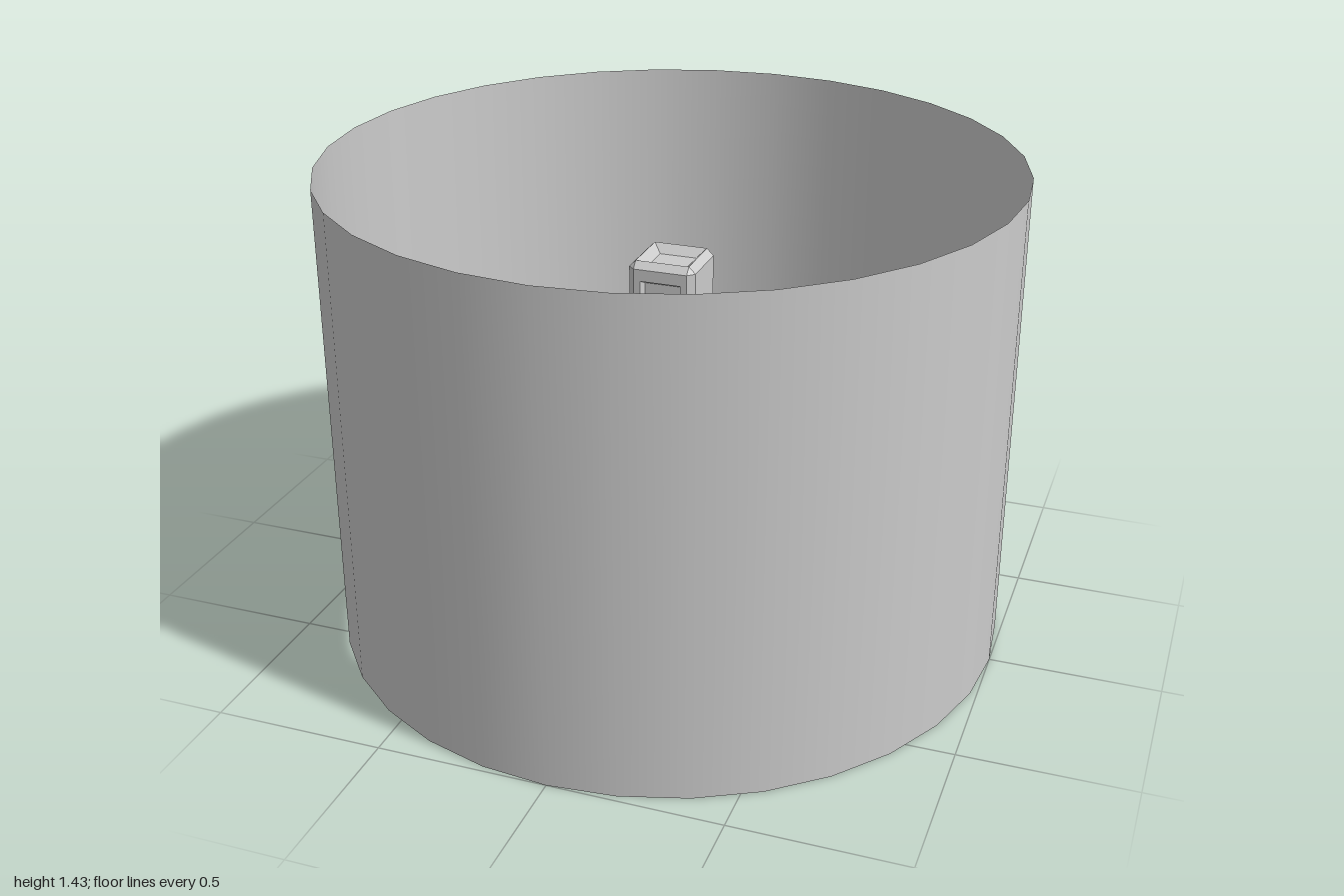
import * as THREE from 'three';

const material = new THREE.MeshStandardMaterial({ color: 0xcccccc, flatShading: true });

// Skin consecutive closed loops; skip(i, row) leaves out a strip segment; caps are fans.
function loft(loops, { skip = () => false, capStart = false, capEnd = false } = {}) {
  const pos = [];
  const tri = (a, b, c) => {
    const area = new THREE.Triangle(a, b, c).getArea();
    if (area > 1e-8) for (const p of [a, b, c]) pos.push(p.x, p.y, p.z);
  };
  const n = loops[0].length;
  for (let r = 0; r < loops.length - 1; r++) {
    const lo = loops[r], hi = loops[r + 1];
    for (let i = 0; i < n; i++) {
      if (skip(i, r)) continue;
      const j = (i + 1) % n;
      tri(lo[i], lo[j], hi[j]);
      tri(lo[i], hi[j], hi[i]);
    }
  }
  const cap = (loop, flip) => {
    const c = new THREE.Vector3();
    loop.forEach(p => c.addScaledVector(p, 1 / n));
    loop.forEach((p, i) => {
      const q = loop[(i + 1) % n];
      flip ? tri(c, q, p) : tri(c, p, q);
    });
  };
  if (capStart) cap(loops[0], true);
  if (capEnd) cap(loops[n ? loops.length - 1 : 0], false);
  const g = new THREE.BufferGeometry();
  g.setAttribute('position', new THREE.Float32BufferAttribute(pos, 3));
  g.computeVertexNormals();
  return g;
}

// Plus-shaped outline: half width w, arm length l, cut inner corners, at depth z
function crossLoop(w, l, z, cut = 0.02) {
  const pts = [];
  for (let k = 0; k < 4; k++) {
    for (const [x, y] of [[w, w + cut], [w, l], [-w, l], [-w, w + cut]]) {
      pts.push(new THREE.Vector3(x, y, z).applyAxisAngle(new THREE.Vector3(0, 0, 1), k * Math.PI / 2));
    }
  }
  return pts;
}

// Square with cut corners across an arm, at height y
function endLoop(w, h, y) {
  const pts = [];
  for (let k = 0; k < 4; k++) {
    for (const [x, u] of [[w, h], [h, w]]) {
      pts.push(new THREE.Vector3(x, y, -u).applyAxisAngle(new THREE.Vector3(0, 1, 0), k * Math.PI / 2));
    }
  }
  return pts;
}

export function createModel() {
  const model = new THREE.Group();

  // Thin open drum
  const height = 1.43;
  const drum = new THREE.Mesh(
    new THREE.CylinderGeometry(1, 1, height, 32, 1, true),
    new THREE.MeshStandardMaterial({ color: 0xcccccc, side: THREE.DoubleSide })
  );
  drum.name = 'drumWall';
  drum.position.y = height / 2;
  model.add(drum);

  // Chamfered cross with a sunken panel on front and back
  const cross = new THREE.Group();
  cross.name = 'cross';
  cross.position.y = 0.685;
  model.add(cross);

  const W = 0.1, C = 0.08, L = 0.47, shoulder = L - 0.02;
  const profile = [[0.053, 0.405, 0.08], [0.06, 0.415, W], [C, shoulder, W], [W, shoulder, C]];
  const loops = [
    ...profile.map(([w, l, z]) => crossLoop(w, l, -z)),
    ...profile.slice().reverse().map(([w, l, z]) => crossLoop(w, l, z)),
  ];
  const body = new THREE.Mesh(loft(loops, {
    skip: (i, r) => i % 4 === 1 && r >= 2 && r <= 4, // arm ends are closed separately
    capStart: true, capEnd: true,
  }), material);
  body.name = 'crossBody';
  cross.add(body);

  // Chamfered arm ends with a sunken square
  const endGeometry = loft([
    endLoop(W, C, shoulder), endLoop(C, C, L), endLoop(0.055, 0.055, L - 0.025),
  ], { capEnd: true });
  ['top', 'right', 'bottom', 'left'].forEach((side, k) => {
    const end = new THREE.Mesh(endGeometry, material);
    end.name = side + 'ArmEnd';
    end.rotation.z = k * Math.PI / 2;
    cross.add(end);
  });

  return model;
}
